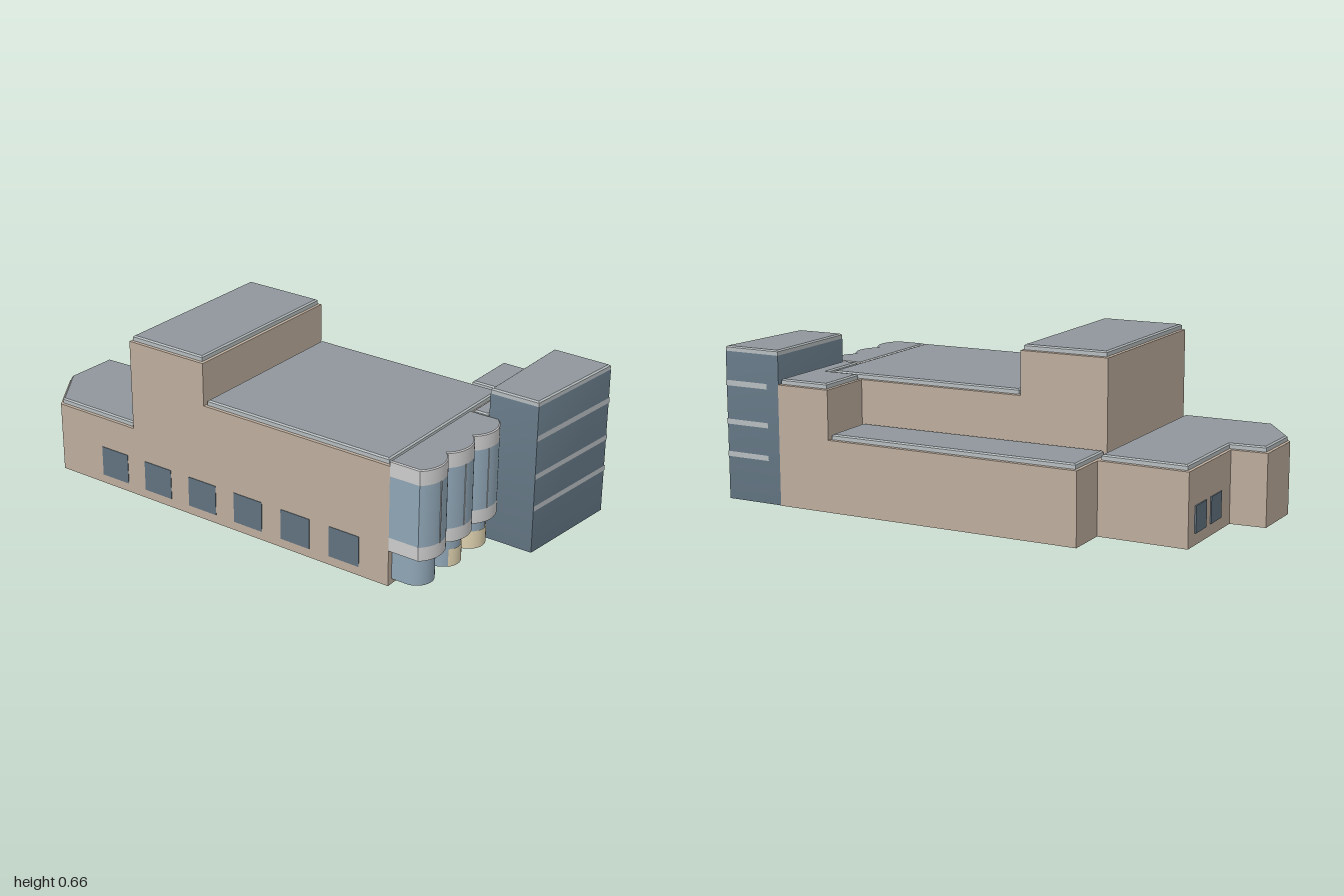
import * as THREE from 'three';
import { toCreasedNormals } from 'three/addons/utils/BufferGeometryUtils.js';

const mat = (color) => new THREE.MeshStandardMaterial({ color, side: THREE.DoubleSide });
const TAN = mat(0xbcac9c), ROOF = mat(0x8f969c), TRIM = mat(0xb6bdbf), DARK = mat(0x60727f);
const GLASS = mat(0x8fa5b5), GREY = mat(0xbfbfbf), CREAM = mat(0xddd0ae);

function add(parent, name, geometry, material) {
  const mesh = new THREE.Mesh(geometry, material);
  mesh.name = name;
  parent.add(mesh);
  return mesh;
}

// Order an [x, z] outline so that its walls face outward
function orient(pts) {
  let area = 0;
  pts.forEach(([x, z], i) => {
    const [u, v] = pts[(i + 1) % pts.length];
    area += x * v - u * z;
  });
  return area > 0 ? [...pts].reverse() : pts;
}

// Move every edge of an outline inward by d, with mitred corners
function inset(pts, d) {
  const n = pts.length;
  const normal = (a, b) => {
    const dx = b[0] - a[0], dz = b[1] - a[1], l = Math.hypot(dx, dz);
    return [dz / l, -dx / l];
  };
  return pts.map((p, i) => {
    const a = normal(pts[(i + n - 1) % n], p), b = normal(p, pts[(i + 1) % n]);
    const k = d / (1 + a[0] * b[0] + a[1] * b[1]);
    return [p[0] + (a[0] + b[0]) * k, p[1] + (a[1] + b[1]) * k];
  });
}

// Wall surface through a list of [inset, y] levels
function walls(pts, levels, closed = true) {
  const pos = [];
  const rings = levels.map(([d, y]) => (d ? inset(pts, d) : pts).map(([x, z]) => [x, y, z]));
  for (let r = 0; r + 1 < rings.length; r++) {
    const lo = rings[r], hi = rings[r + 1];
    for (let i = 0; i < pts.length - (closed ? 0 : 1); i++) {
      const j = (i + 1) % pts.length;
      pos.push(...lo[i], ...lo[j], ...hi[j], ...lo[i], ...hi[j], ...hi[i]);
    }
  }
  const g = new THREE.BufferGeometry();
  g.setAttribute('position', new THREE.Float32BufferAttribute(pos, 3));
  return toCreasedNormals(g, 0.5);
}

// Horizontal surface filling an outline
function cap(pts, y) {
  const shape = new THREE.Shape(pts.map(([x, z]) => new THREE.Vector2(x, -z)));
  return new THREE.ShapeGeometry(shape).rotateX(-Math.PI / 2).translate(0, y, 0);
}

// Hollow block, open below, with a stepped parapet and flat roof
function block(parent, name, outline, h, wallMat = TAN, step = 0.01) {
  const g = new THREE.Group();
  g.name = name;
  const pts = orient(outline), y = h - 0.022;
  add(g, 'walls', walls(pts, [[0, 0], [0, y], [step, y + 0.002]]), wallMat);
  add(g, 'parapet', walls(pts, [[step, y + 0.002], [step, h - 0.005], [step + 0.006, h]]), TRIM);
  add(g, 'roof', cap(inset(pts, step + 0.006), h), ROOF);
  parent.add(g);
}

const rect = (x0, x1, z0, z1) => [[x0, z0], [x0, z1], [x1, z1], [x1, z0]];

// Points of a shallow forward-bulging arc from x0 to x1
function arc(x0, x1, z, sag, n = 16) {
  const c = (x1 - x0) / 2, r = (c * c + sag * sag) / (2 * sag), half = Math.asin(c / r);
  return Array.from({ length: n + 1 }, (_, i) => {
    const a = half * (2 * i / n - 1);
    return [x0 + c + r * Math.sin(a), z + sag - r + r * Math.cos(a)];
  });
}

function box(parent, name, x0, x1, y0, y1, z0, z1, material) {
  const g = new THREE.BoxGeometry(x1 - x0, y1 - y0, z1 - z0);
  return add(parent, name, g.translate((x0 + x1) / 2, (y0 + y1) / 2, (z0 + z1) / 2), material);
}

export function createModel() {
  const model = new THREE.Group();
  model.name = 'building';
  const L = -0.487;

  // Main masses
  block(model, 'mainHall', rect(L, 0.232, -0.145, 0.675), 0.49);
  block(model, 'rearTower', rect(L, 0.232, -0.495, -0.145), 0.657);
  block(model, 'sideWing', [[0.232, -0.495], [0.232, 0.535], [0.472, 0.535], [0.485, -0.495]], 0.3);
  block(model, 'rearWing', [[L, -0.495], [0.312, -0.495], [0.322, -0.848], [-0.068, -0.853],
    [-0.075, -0.992], [-0.3, -0.998], [L, -0.87]], 0.3);
  block(model, 'connector', [[0.017, 0.757], [0.017, 0.675], [0.232, 0.675], [0.232, 0.535],
    [0.472, 0.535], [0.468, 0.757]], 0.49);

  // Glazed front tower with pale bands on its front and right faces
  const foot = [[0.017, 0.757], [0.017, 0.955], [0.46, 0.998], [0.465, 0.757]];
  block(model, 'frontTower', foot, 0.598, DARK, 0.001);
  const bandPath = [[0.017, 0.957], [0.462, 1.0], [0.4655, 0.81]];
  [[0.168, 0.188], [0.295, 0.315], [0.445, 0.466]].forEach(([a, b]) =>
    add(model, 'towerBand', walls(bandPath, [[0, a], [0, b]], false), TRIM));

  // Scalloped upper bays
  const bays = new THREE.Group();
  bays.name = 'frontBays';
  model.add(bays);
  const w = (0.017 - L) / 3;
  let curve = [];
  for (let i = 0; i < 3; i++) {
    const a = arc(L + i * w, L + (i + 1) * w, 0.797, 0.038);
    curve = curve.concat(i ? a.slice(1) : a);
  }
  const bayPts = orient([[L, 0.675], ...curve, [0.017, 0.675]]);
  add(bays, 'bayLowerBand', walls(bayPts, [[0, 0.14], [0, 0.193]]), GREY);
  add(bays, 'bayGlass', walls(bayPts, [[0, 0.193], [0, 0.43]]), GLASS);
  add(bays, 'bayUpperBand', walls(bayPts, [[0, 0.43], [0, 0.485], [0.004, 0.489]]), GREY);
  add(bays, 'bayRoof', cap(inset(bayPts, 0.004), 0.489), ROOF);
  add(bays, 'baySoffit', cap(bayPts, 0.14), GREY);
  [-0.411, -0.254, -0.097].forEach((x) => {
    const z = curve.reduce((m, p) => (Math.abs(p[0] - x) < Math.abs(m[0] - x) ? p : m))[1];
    box(bays, 'mullion', x - 0.002, x + 0.002, 0.193, 0.43, z - 0.006, z + 0.003, TRIM);
  });

  // Rounded ground-floor glazing below the bays
  [-0.465, -0.3, -0.135].forEach((x, i) => {
    const pts = orient([[x, 0.675], ...arc(x, x + 0.13, 0.745, 0.055), [x + 0.13, 0.675]]);
    add(bays, 'groundGlass', walls(pts, [[0, 0.02], [0, 0.14]]), GLASS);
    add(bays, 'groundGlassBase', cap(pts, 0.02), GLASS);
    if (i) {
      const strip = arc(x, x + 0.13, 0.749, 0.055).filter((p) => p[0] > -0.278);
      add(bays, 'lowPanel', walls(strip, [[0, 0.02], [0, 0.09]], false), CREAM);
    }
  });
  box(bays, 'recessedGlass', -0.335, -0.135, 0.02, 0.14, 0.675, 0.71, GLASS);
  box(bays, 'recessedPanel', -0.17, -0.135, 0.02, 0.09, 0.71, 0.715, CREAM);

  // Windows along the long side wall and in the rear wing
  for (let i = 0; i < 6; i++) {
    const z = -0.595 + i * 0.216;
    box(model, 'sideWindow', L - 0.002, L + 0.004, 0.035, 0.155, z - 0.065, z + 0.065, DARK);
  }
  [0.07, 0.215].forEach((x) =>
    box(model, 'rearWindow', x - 0.05, x + 0.05, 0.045, 0.145, -0.855, -0.846, DARK));

  return model;
}
